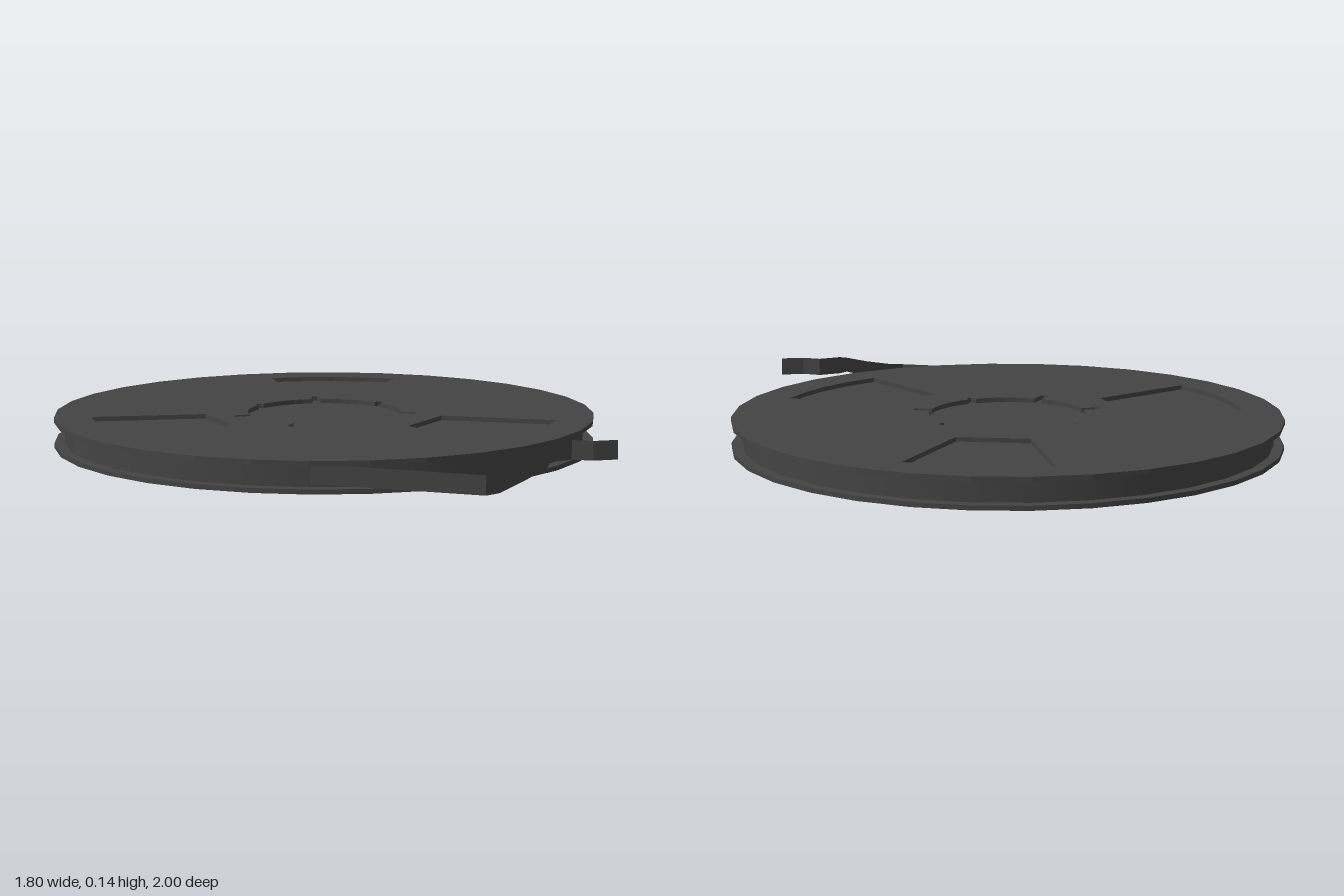
import * as THREE from 'three';

const SIDES = 32;
const CENTRE_Z = -0.1;
const rad = THREE.MathUtils.degToRad;
const polar = (r, a) => new THREE.Vector2(r * Math.cos(a), r * Math.sin(a));

// Wedge-shaped window: straight inner edge, faceted outer arc
function windowHole(centreDeg) {
  const pts = [];
  const half = rad(17);
  const mid = rad(centreDeg);
  pts.push(polar(0.4, mid - half));
  for (let i = 0; i <= 4; i++) pts.push(polar(0.777, mid - half + (half * 2 * i) / 4));
  pts.push(polar(0.4, mid + half));
  return new THREE.Path(pts);
}

// Round hub opening with seven narrow keyways of differing length
function hubHole() {
  const r = 0.257;
  const halfWidth = 0.014;
  const tips = [0.315, 0.283, 0.314, 0.28, 0.32, 0.314, 0.275];
  const step = (Math.PI * 2) / 7;
  const gap = Math.asin(halfWidth / r);
  const pts = [];
  tips.forEach((tip, i) => {
    const a = rad(-65) + i * step;
    const dir = polar(1, a);
    const side = new THREE.Vector2(-dir.y, dir.x);
    const at = (d, s) => dir.clone().multiplyScalar(d).addScaledVector(side, s);
    pts.push(polar(r, a - gap));
    pts.push(at(tip - 0.01, -halfWidth), at(tip, -halfWidth * 0.5));
    pts.push(at(tip, halfWidth * 0.5), at(tip - 0.01, halfWidth));
    // arc on to the next keyway
    for (let k = 0; k < 6; k++) pts.push(polar(r, a + gap + ((step - 2 * gap) * k) / 6));
  });
  return new THREE.Path(pts);
}

// Free end of the tape: rows of x, z, bottom y, top y
function leaderGeometry() {
  const rows = [
    [-0.48, 0.62, 0.025, 0.085],
    [-0.11, 0.99, 0.015, 0.075],
    [-0.06, 0.988, 0.017, 0.08],
    [0.04, 0.98, 0.044, 0.1],
    [0.125, 0.97, 0.07, 0.122],
    [0.17, 0.925, 0.075, 0.135],
    [0.25, 0.925, 0.075, 0.135],
    [0.295, 0.972, 0.075, 0.135],
    [0.37, 0.995, 0.075, 0.135],
  ];
  const pos = [];
  const idx = [];
  rows.forEach(([x, z, y0, y1], i) => {
    pos.push(x, y0, z, x, y1, z);
    const a = i * 2;
    if (i < rows.length - 1) idx.push(a, a + 2, a + 1, a + 1, a + 2, a + 3);
  });
  const g = new THREE.BufferGeometry();
  g.setAttribute('position', new THREE.Float32BufferAttribute(pos, 3));
  g.setIndex(idx);
  g.computeVertexNormals();
  return g;
}

export function createModel() {
  const model = new THREE.Group();
  model.name = 'tapeReel';
  const dark = new THREE.MeshStandardMaterial({ color: 0x444444 });
  const strip = new THREE.MeshStandardMaterial({
    color: 0x444444, flatShading: true, side: THREE.DoubleSide,
  });

  const reel = new THREE.Group();
  reel.name = 'reel';
  reel.position.z = CENTRE_Z;
  model.add(reel);

  const add = (parent, name, geometry, material) => {
    const mesh = new THREE.Mesh(geometry, material);
    mesh.name = name;
    parent.add(mesh);
    return mesh;
  };

  // Solid lower flange
  add(reel, 'lowerFlange', new THREE.CylinderGeometry(0.9, 0.9, 0.015, SIDES), dark).position.y = 0.0075;

  // Wound tape between the flanges
  add(reel, 'woundTape', new THREE.CylinderGeometry(0.865, 0.865, 0.07, SIDES), dark).position.y = 0.05;

  // Upper flange with three windows and the keyed hub opening
  const rim = [];
  for (let i = 0; i < SIDES; i++) rim.push(polar(0.9, (i / SIDES) * Math.PI * 2));
  const shape = new THREE.Shape(rim);
  shape.holes.push(hubHole(), ...[-56.5, 62, -174.5].map(windowHole));
  const flange = new THREE.ExtrudeGeometry(shape, { depth: 0.015, bevelEnabled: false });
  flange.rotateX(Math.PI / 2);
  add(reel, 'upperFlange', flange, dark).position.y = 0.1;

  // Loose tape end
  add(model, 'tapeLeader', leaderGeometry(), strip);

  return model;
}
